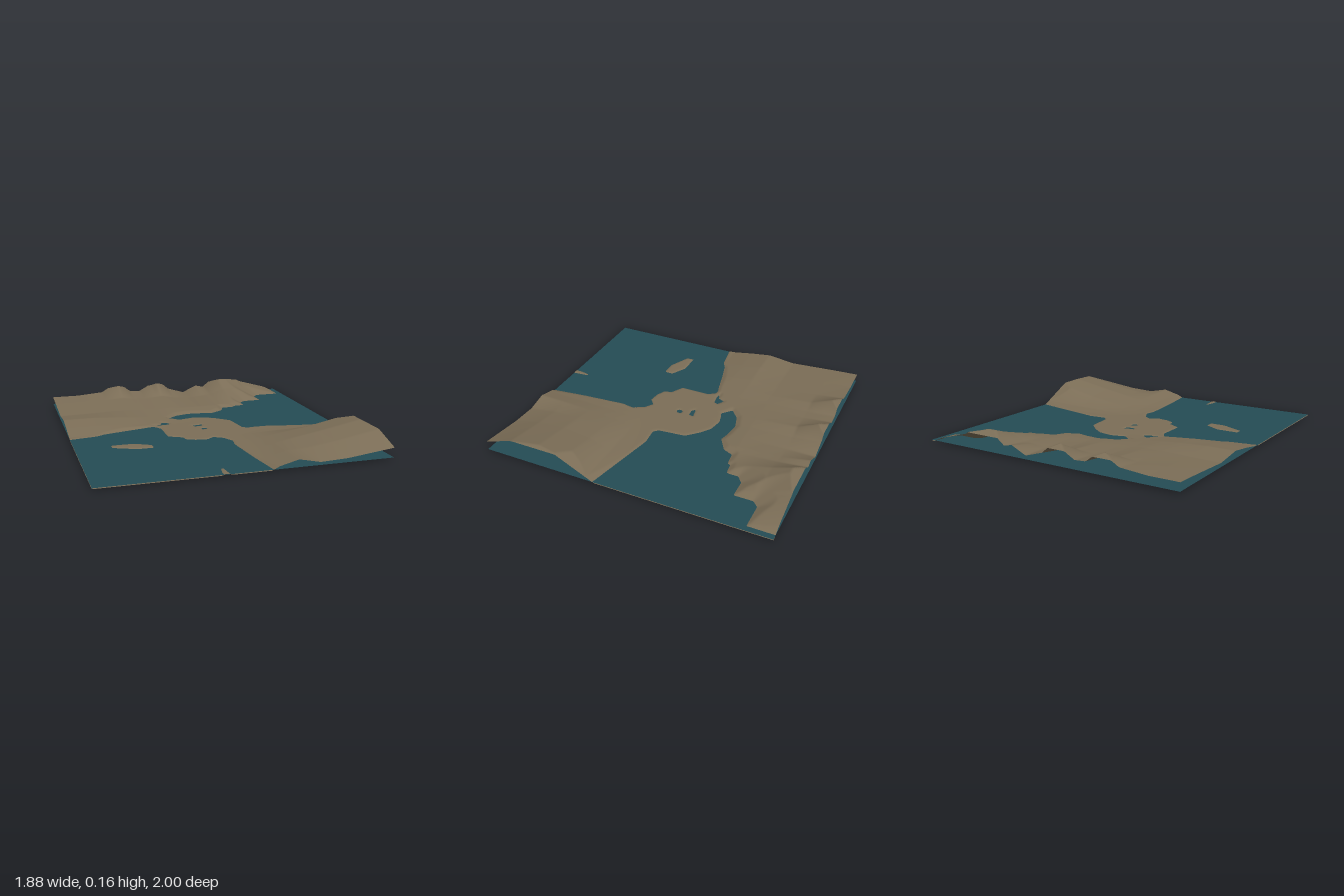
import * as THREE from 'three';

const WIDTH = 1.88, DEPTH = 2, SEA = 0.016;

// Coastlines as x, z pairs; a point inside an odd number of loops is land.
const mainland = [
  -1.2, .08, -.94, .04, -.75, .01, -.7, -.02, -.55, -.06, -.42, -.09, -.35, -.11, -.32, -.1, -.29, -.05,
  -.29, .15, -.2, .2, -.19, .25, -.13, .28, -.05, .29, 0, .25, .06, .29, .1, .37, .085, .45, .11, .75,
  .14, 1, .14, 1.2, 1.2, 1.2, 1.2, .24, .94, .2, .42, .09, .3, .1, .27, .07, .25, -.12, .21, -.16,
  .17, -.2, .1, -.25, 0, -.27, -.08, -.25, -.1, -.24, -.17, -.3, -.1, -.36, 0, -.39, .1, -.38, .18, -.36,
  .28, -.42, .31, -.49, .41, -.5, .41, -.52, .5, -.53, .5, -.61, .55, -.65, .68, -.65, .68, -.78,
  .72, -.82, .9, -.82, .9, -1.2, -1.2, -1.2,
];
const smallLoops = [
  [-.33, -.14, -.27, -.15, -.25, -.2, -.2, -.17, -.21, -.14, -.28, -.13], // inlet
  [-.07, -.06, .02, -.075, .01, -.04, -.04, -.035],                       // central pond
  [-.7, .25, -.55, .25, -.44, .31, -.44, .37, -.55, .37, -.7, .3],        // island
  [-.17, 1.1, -.17, .96, -.155, .89, -.14, .89, -.125, 1.1],              // islet
];
const coasts = [mainland, ...smallLoops];

// Height profiles running along x, one row for each z.
const backHills = {
  xs: [-.94, -.74, -.55, -.42, -.32, -.24, -.14, -.1, 0, .13, .24, .3, .42, .55, .62, .94],
  zs: [-1, -.8, -.5, -.3, -.15, 0],
  rows: [
    [.07, .07, .085, .16, .08, .075, .13, .17, .08, .04, .09, .075, .165, .17, .105, .016],
    [.06, .065, .065, .075, .06, .058, .065, .07, .05, .04, .05, .055, .095, .09, .05, .016],
    [.042, .045, .05, .05, .045, .045, .045, .045, .04, .04, .04, .035, .02, .016, .016, .016],
    [.065, .065, .055, .045, .035, .03, .025, .022, .02, .02, .02, .02, .016, .016, .016, .016],
    [.045, .045, .04, .03, .024, .02, .02, .02, .02, .02, .02, .02, .016, .016, .016, .016],
    [.02, .02, .02, .02, .02, .02, .02, .02, .02, .02, .02, .02, .016, .016, .016, .016],
  ],
};
const frontHills = {
  xs: [.1, .2, .3, .44, .62, .94],
  zs: [.1, .25, .4, .6, .8, 1],
  rows: [
    [.016, .016, .016, .016, .016, .016],
    [.018, .02, .022, .025, .03, .04],
    [.018, .025, .035, .055, .08, .145],
    [.018, .03, .05, .075, .105, .165],
    [.018, .035, .06, .065, .09, .145],
    [.018, .04, .065, .035, .042, .08],
  ],
};

// Index and fraction of a value within a rising list.
function locate(list, v) {
  let i = 0;
  while (i < list.length - 2 && v > list[i + 1]) i++;
  return [i, THREE.MathUtils.clamp((v - list[i]) / (list[i + 1] - list[i]), 0, 1)];
}

function sample({ xs, zs, rows }, x, z) {
  const [i, u] = locate(xs, x), [j, v] = locate(zs, z);
  const along = (row) => THREE.MathUtils.lerp(row[i], row[i + 1], u);
  return THREE.MathUtils.lerp(along(rows[j]), along(rows[j + 1]), v);
}

// Distance to the nearest coast: positive on land, negative at sea.
function coastDistance(x, z) {
  let best = Infinity, land = false;
  for (const loop of coasts) {
    for (let i = 0, j = loop.length - 2; i < loop.length; j = i, i += 2) {
      const ax = loop[j], az = loop[j + 1], dx = loop[i] - ax, dz = loop[i + 1] - az;
      const t = THREE.MathUtils.clamp(((x - ax) * dx + (z - az) * dz) / (dx * dx + dz * dz), 0, 1);
      best = Math.min(best, Math.hypot(x - ax - t * dx, z - az - t * dz));
      if ((az > z) !== (loop[i + 1] > z) && x < ax + ((z - az) / dz) * dx) land = !land;
    }
  }
  return land ? best : -best;
}

function terrainHeight(x, z) {
  const d = coastDistance(x, z);
  if (d < 0) return SEA + Math.max(-0.005, d * 0.4);
  const hills = Math.max(0.02, sample(backHills, x, z), sample(frontHills, x, z));
  const pit = 0.02 * Math.max(0, 1 - Math.hypot(x, z - 0.0375) / 0.025);
  return Math.max(0, SEA + Math.min(hills - SEA, d * 0.5) - pit);
}

export function createModel() {
  const group = new THREE.Group();
  group.name = 'coastalTerrain';
  const earth = new THREE.MeshStandardMaterial({ color: 0x7c6e57, side: THREE.DoubleSide });
  earth.name = 'earth';
  const sea = new THREE.MeshStandardMaterial({ color: 0x244c55, side: THREE.DoubleSide });
  sea.name = 'sea';

  // Land and seabed: one sheet raised by the height rule
  const landGeometry = new THREE.PlaneGeometry(WIDTH, DEPTH, 180, 192).rotateX(-Math.PI / 2);
  const p = landGeometry.attributes.position;
  for (let i = 0; i < p.count; i++) p.setY(i, terrainHeight(p.getX(i), p.getZ(i)));
  landGeometry.computeVertexNormals();
  const land = new THREE.Mesh(landGeometry, earth);
  land.name = 'land';

  // Flat water surface
  const water = new THREE.Mesh(new THREE.PlaneGeometry(WIDTH, DEPTH).rotateX(-Math.PI / 2), sea);
  water.name = 'water';
  water.position.y = SEA;

  group.add(land, water);
  return group;
}
